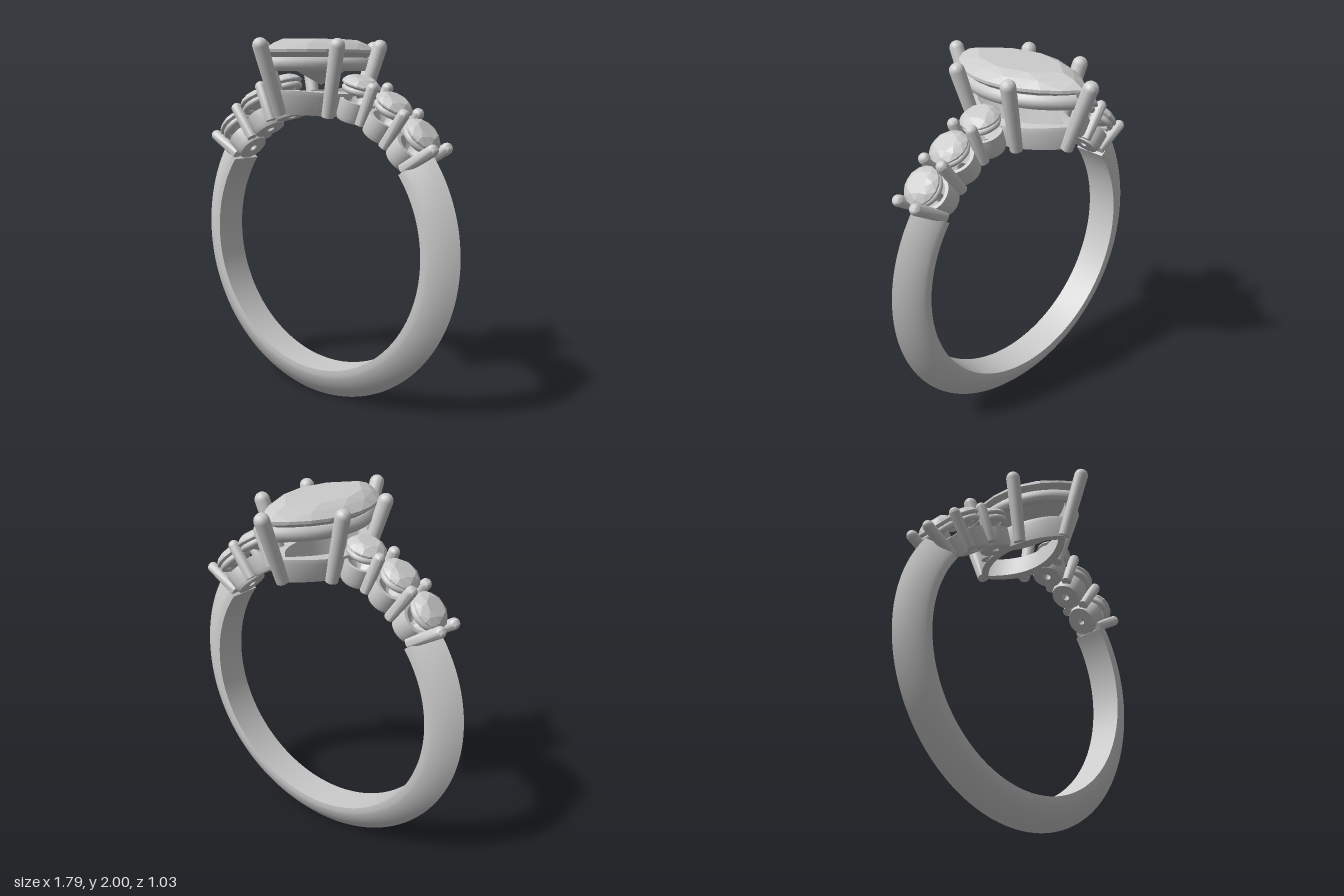
import * as THREE from 'three';
import { toCreasedNormals } from 'three/addons/utils/BufferGeometryUtils.js';
import { ConvexGeometry } from 'three/addons/geometries/ConvexGeometry.js';

const CY = 0.895, INNER = 0.72, OUTER = 0.895; // ring centre height and radii
const UP = new THREE.Vector3(0, 1, 0);
const V = (x, y, z) => new THREE.Vector3(x, y, z);
const metal = new THREE.MeshStandardMaterial({ color: 0xcccccc });
const gem = new THREE.MeshStandardMaterial({ color: 0xcccccc, flatShading: true });

function mesh(name, geometry, material = metal) {
  const m = new THREE.Mesh(geometry, material);
  m.name = name;
  return m;
}

// Skin over equal cross-sections; closed joins last to first, otherwise ends are capped
function loft(sections, closed, crease = 0.5) {
  const n = sections[0].length, count = sections.length, index = [];
  for (let i = 0; i < (closed ? count : count - 1); i++) {
    for (let j = 0; j < n; j++) {
      const a = i * n + j, b = ((i + 1) % count) * n + j;
      const d = i * n + (j + 1) % n, c = ((i + 1) % count) * n + (j + 1) % n;
      index.push(a, b, c, a, c, d);
    }
  }
  if (!closed) {
    const e = (count - 1) * n;
    for (let j = 1; j < n - 1; j++) index.push(0, j, j + 1, e, e + j + 1, e + j);
  }
  const g = new THREE.BufferGeometry().setFromPoints(sections.flat());
  g.setIndex(index);
  return toCreasedNormals(g, crease);
}

// Pointed oval of two arcs: half length a along z, half width b along x
function marquise(a, b, perSide) {
  const R = (a * a + b * b) / (2 * b), half = Math.asin(a / R), pts = [];
  for (const s of [1, -1]) {
    for (let i = 0; i < perSide; i++) {
      const t = half * (1 - 2 * i / perSide);
      pts.push({ x: s * (R * Math.cos(t) - R + b), z: s * R * Math.sin(t) });
    }
  }
  return pts;
}

// Marquise rail; profile lists [outward offset, y or function of x]
function rail(a, b, profile) {
  const outlines = profile.map(([d]) => marquise(a + d, b + d, 24));
  const sections = outlines[0].map((_, i) => profile.map(([, y], k) => {
    const p = outlines[k][i];
    return V(p.x, typeof y === 'function' ? y(p.x) : y, p.z);
  }));
  return loft(sections, true, 0.7);
}

// Tapered claw with a rounded tip
function claw(name, from, to, r0, r1) {
  const dir = to.clone().sub(from), L = dir.length();
  const pts = [new THREE.Vector2(0, 0), new THREE.Vector2(r0, 0)];
  for (let i = 0; i <= 6; i++) {
    const t = i / 6 * Math.PI / 2;
    pts.push(new THREE.Vector2(r1 * Math.cos(t), L - r1 + r1 * Math.sin(t)));
  }
  const m = mesh(name, toCreasedNormals(new THREE.LatheGeometry(pts, 18), 0.7));
  m.position.copy(from);
  m.quaternion.setFromUnitVectors(UP, dir.normalize());
  return m;
}

function circle(n, r, y, offset = 0) {
  return Array.from({ length: n }, (_, i) => {
    const t = (i + offset) / n * Math.PI * 2;
    return V(r * Math.cos(t), y, r * Math.sin(t));
  });
}

// Band: flat inside, short sides, outer faces curving to a ridge
function band() {
  const profile = [[INNER, -0.095]], arc = [];
  for (let i = 0; i <= 8; i++) {
    const t = i / 8;
    arc.push([0.75 + (OUTER - 0.75) * t, 0.095 * (1 - 0.4 * t - 0.6 * t * t)]);
  }
  arc.forEach(([r, z]) => profile.push([r, -z]));
  arc.slice(0, -1).reverse().forEach(([r, z]) => profile.push([r, z]));
  profile.push([INNER, 0.095]);
  const sections = [];
  for (let i = 0; i <= 120; i++) {
    const t = THREE.MathUtils.degToRad(143.5 + 253 * i / 120);
    sections.push(profile.map(([r, z]) => V(r * Math.cos(t), CY + r * Math.sin(t), z)));
  }
  return mesh('band', loft(sections, false));
}

// Round accent stone with its rail and pierced cup, y pointing outward from the ring
function accent() {
  const g = new THREE.Group();
  g.name = 'accentStoneSetting';
  g.add(mesh('accentStone', new ConvexGeometry([
    ...circle(8, 0.06, 0.952), ...circle(8, 0.085, 0.939, 0.5),
    ...circle(16, 0.105, 0.918), ...circle(16, 0.105, 0.91), V(0, 0.835, 0)
  ]), gem));
  const ring = mesh('accentRail', new THREE.TorusGeometry(0.082, 0.018, 10, 32).rotateX(Math.PI / 2));
  ring.position.y = 0.882;
  const cup = [[0.022, 0.715], [0.085, 0.715], [0.095, 0.74], [0.095, 0.825], [0.075, 0.825],
    [0.022, 0.765], [0.022, 0.715]].map(([r, y]) => new THREE.Vector2(r, y));
  g.add(ring, mesh('accentCup', toCreasedNormals(new THREE.LatheGeometry(cup, 32), 0.6)));
  return g;
}

function shoulder(s) {
  const g = new THREE.Group();
  g.name = s > 0 ? 'leftShoulder' : 'rightShoulder';
  for (const deg of [43.5, 58, 72.5]) {
    const a = accent();
    a.position.y = CY;
    a.rotation.z = -s * THREE.MathUtils.degToRad(90 - deg);
    g.add(a);
  }
  // Pairs of claws between the stones
  for (const [x0, y0, x1, y1] of [[0.585, 1.35, 0.785, 1.47], [0.465, 1.455, 0.603, 1.645], [0.315, 1.56, 0.404, 1.775]]) {
    for (const z of [0.066, -0.066]) {
      g.add(claw('shoulderClaw', V(s * x0, y0, z), V(s * x1, y1, z), 0.029, 0.031));
    }
  }
  return g;
}

function head() {
  const g = new THREE.Group();
  g.name = 'centreSetting';
  const at = (a, b, n, y) => marquise(a, b, n).map(p => V(p.x, y, p.z));
  g.add(mesh('centreStone', new ConvexGeometry([
    ...at(0.3, 0.155, 4, 2.0), ...at(0.375, 0.2, 5, 1.978),
    ...at(0.43, 0.235, 10, 1.945), ...at(0.43, 0.235, 10, 1.93), V(0, 1.76, 0)
  ]), gem));
  g.add(mesh('upperRail', rail(0.375, 0.195, [
    [-0.025, 1.835], [0.01, 1.835], [0.025, 1.85], [0.03, 1.87], [0.025, 1.89], [0.01, 1.905], [-0.025, 1.905]
  ])));
  // Lower rail, its underside following the finger hole
  const under = x => CY + Math.sqrt(INNER * INNER - x * x);
  const top = x => under(x) + 0.125;
  g.add(mesh('lowerRail', rail(0.34, 0.165, [
    [-0.05, under], [0, under], [0.025, x => under(x) + 0.1], [0.022, top], [-0.03, top]
  ])));
  for (const s of [1, -1]) {
    g.add(claw('endClaw', V(0, 1.62, s * 0.335), V(0, 1.998, s * 0.49), 0.034, 0.04));
    for (const x of [1, -1]) {
      g.add(claw('sideClaw', V(x * 0.155, 1.6, s * 0.135), V(x * 0.267, 1.998, s * 0.187), 0.034, 0.04));
    }
  }
  return g;
}

export function createModel() {
  const model = new THREE.Group();
  model.name = 'ring';
  model.add(band(), shoulder(1), shoulder(-1), head());
  return model;
}
